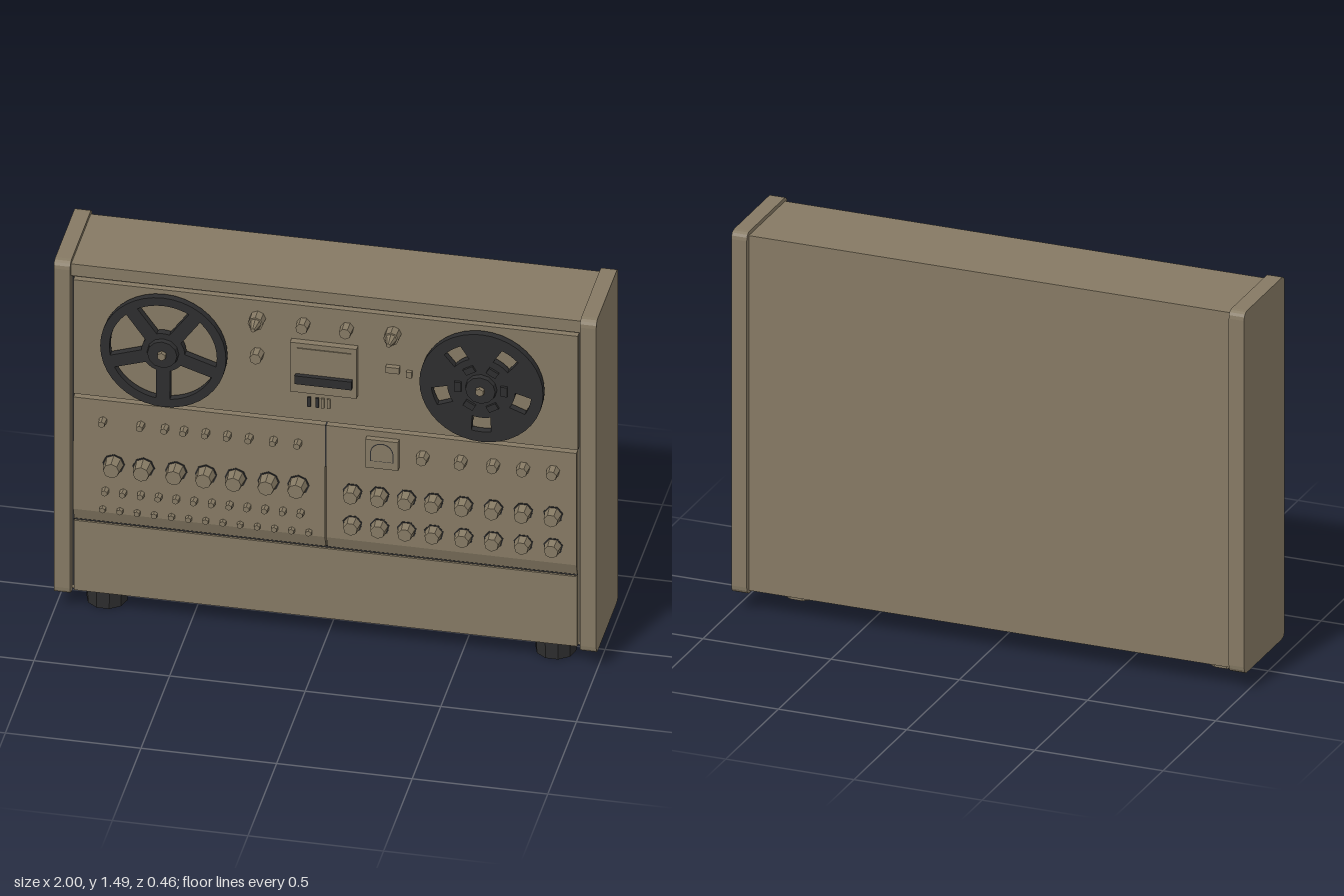
import * as THREE from 'three';

const mat = (name, color, opts = {}) => {
  const m = new THREE.MeshStandardMaterial({ color, flatShading: true, ...opts });
  m.name = name;
  return m;
};

export function createModel() {
  const root = new THREE.Group();
  root.name = 'tapeRecorder';
  const taupe = mat('taupe', 0x857963);
  const dark = mat('charcoal', 0x2d2d2e);

  const add = (name, geo, material, x = 0, y = 0, z = 0, parent = root) => {
    const m = new THREE.Mesh(geo, material);
    m.name = name;
    m.position.set(x, y, z);
    parent.add(m);
    return m;
  };
  // box given by its limits
  const box = (name, x0, x1, y0, y1, z0, z1, material = taupe) =>
    add(name, new THREE.BoxGeometry(x1 - x0, y1 - y0, z1 - z0), material,
      (x0 + x1) / 2, (y0 + y1) / 2, (z0 + z1) / 2);
  // faceted cylinder whose axis points forward, starting at its back face
  const stud = (r0, r1, depth, sides) =>
    new THREE.CylinderGeometry(r1, r0, depth, sides).rotateX(Math.PI / 2).translate(0, 0, depth / 2);
  // (z, y) outline swept along x
  const sweepX = (shape, x0, x1) =>
    new THREE.ExtrudeGeometry(shape, { depth: x1 - x0, bevelEnabled: false, curveSegments: 4 })
      .rotateY(-Math.PI / 2).scale(1, 1, 1).translate(x1, 0, 0);

  // cabinet and its thin front frame
  box('cabinet', -0.945, 0.945, 0.085, 1.475, -0.21, 0.12);
  box('topRail', -0.94, 0.94, 1.425, 1.475, 0.12, 0.135);

  // side cheeks with rounded corners
  const cheek = new THREE.Shape();
  const z0 = -0.23, z1 = 0.155, y0 = 0.073, y1 = 1.49, r = 0.03;
  cheek.moveTo(z0 + r, y0);
  cheek.lineTo(z1 - r, y0);
  cheek.quadraticCurveTo(z1, y0, z1, y0 + r);
  cheek.lineTo(z1, y1 - r);
  cheek.quadraticCurveTo(z1, y1, z1 - r, y1);
  cheek.lineTo(z0 + r, y1);
  cheek.quadraticCurveTo(z0, y1, z0, y1 - r);
  cheek.lineTo(z0, y0 + r);
  cheek.quadraticCurveTo(z0, y0, z0 + r, y0);
  add('rightCheek', sweepX(cheek, -1, -0.94), taupe);
  add('leftCheek', sweepX(cheek, 0.94, 1), taupe);

  // front panels: tape deck, control panel with an undercut, lower panel
  box('deckPanel', -0.93, 0.93, 0.93, 1.415, 0.11, 0.145);
  box('deckSeam', -0.93, 0.93, 0.919, 0.927, 0.115, 0.122, dark);
  const face = new THREE.Shape([[0.11, 0.39], [0.13, 0.39], [0.148, 0.44], [0.145, 0.915], [0.11, 0.915]]
    .map(p => new THREE.Vector2(...p)));
  add('rightControlPanel', sweepX(face, -0.93, -0.002), taupe);
  add('leftControlPanel', sweepX(face, 0.004, 0.925), taupe);
  box('panelSeam', -0.002, 0.004, 0.74, 0.915, 0.12, 0.146, dark);
  box('lowerPanel', -0.93, 0.925, 0.085, 0.382, 0.11, 0.133);
  box('lowerSeam', -0.93, 0.925, 0.382, 0.39, 0.118, 0.125, dark);
  for (const s of [-1, 1])
    box('edgeSeam', s * 0.934 - 0.003, s * 0.934 + 0.003, 0.1, 1.415, 0.115, 0.124, dark);

  // reels: a disc with five windows and a stepped hub
  const reel = (name, x, radius, inner, outer, halfIn, halfOut) => {
    const g = new THREE.Group();
    g.name = name;
    g.position.set(x, 1.175, 0.16);
    root.add(g);
    const disc = new THREE.Shape();
    disc.absarc(0, 0, radius, 0, Math.PI * 2, false);
    return { g, disc, cut() {
      for (let i = 0; i < 5; i++) {
        const a = Math.PI * (0.5 + 0.4 * i) + this.turn;
        const hole = new THREE.Path();
        hole.absarc(0, 0, outer, a - halfOut, a + halfOut, false);
        hole.absarc(0, 0, inner, a + halfIn, a - halfIn, true);
        hole.closePath();
        disc.holes.push(hole);
      }
      const flange = new THREE.ExtrudeGeometry(disc, { depth: 0.028, bevelEnabled: false, curveSegments: 20 });
      add('flange', flange, dark, 0, 0, 0, g);
      add('hub', stud(0.065, 0.055, 0.045, 12), dark, 0, 0, 0, g);
      add('spindleBase', stud(0.045, 0.045, 0.03, 10), dark, 0, 0, -0.025, g);
      add('spindle', stud(0.022, 0.016, 0.06, 6), taupe, 0, 0, 0, g);
    }, turn: 0 };
  };
  const openReel = reel('rightReel', -0.59, 0.232, 0.08, 0.198, 0.3, 0.5);
  openReel.cut();
  const closedReel = reel('leftReel', 0.583, 0.228, 0.125, 0.185, 0.27, 0.2);
  closedReel.turn = Math.PI / 5;
  closedReel.cut();
  for (let i = 0; i < 6; i++) {
    const a = i * Math.PI / 3;
    const lug = add('hubLug', new THREE.BoxGeometry(0.025, 0.04, 0.012), dark,
      0.085 * Math.cos(a), 0.085 * Math.sin(a), 0.032, closedReel.g);
    lug.rotation.z = a;
  }

  // deck knobs, two of them with long pointed tips
  for (const x of [-0.25, 0.25]) {
    add('guideKnob', stud(0.03, 0.028, 0.045, 8), taupe, x, 1.34, 0.143);
    add('guideTip', stud(0.022, 0.008, 0.045, 8), taupe, x, 1.34, 0.187);
  }
  for (const [x, y] of [[-0.08, 1.34], [0.08, 1.34], [-0.25, 1.19]])
    add('deckKnob', stud(0.025, 0.022, 0.045, 7), taupe, x, y, 0.143);
  box('deckSwitch', 0.225, 0.275, 1.18, 1.205, 0.143, 0.165);
  box('deckSwitch', 0.3, 0.32, 1.165, 1.19, 0.143, 0.16);

  // tape head cover with its slot, and counter below
  box('headCover', -0.125, 0.12, 1.06, 1.27, 0.143, 0.172);
  box('headPlate', -0.1, 0.1, 1.155, 1.25, 0.172, 0.176);
  box('headSlot', -0.105, 0.105, 1.105, 1.14, 0.172, 0.19, dark);
  for (const x of [-0.06, -0.03, -0.01, 0.012])
    box('counterWheel', x - 0.006, x + 0.006, 0.99, 1.03, 0.143, 0.152, x < -0.02 ? dark : taupe);

  // rows of knobs: [name, y, radius, depth, sides, x positions]
  const spread = (a, b, n) => Array.from({ length: n }, (_, i) => a + (b - a) * i / (n - 1));
  const eight = [0.1, 0.2, 0.3, 0.4, 0.51, 0.62, 0.73, 0.84];
  const rows = [
    ['toggleKnob', 0.83, 0.016, 0.035, 6, [-0.82, -0.68, -0.59, -0.52, -0.44, -0.36, -0.28, -0.19, -0.1]],
    ['channelKnob', 0.65, 0.037, 0.055, 8, [-0.78, -0.67, -0.55, -0.44, -0.33, -0.21, -0.1]],
    ['trimKnob', 0.535, 0.015, 0.03, 6, spread(-0.81, -0.09, 12)],
    ['pushButton', 0.455, 0.014, 0.02, 6, spread(-0.82, -0.06, 13)],
    ['levelKnob', 0.83, 0.025, 0.04, 7, [0.36, 0.5, 0.62, 0.73, 0.84]],
    ['toneKnob', 0.645, 0.033, 0.05, 7, eight],
    ['mixKnob', 0.51, 0.033, 0.045, 7, eight],
  ];
  for (const [name, y, rad, depth, sides, xs] of rows) {
    for (const x of xs) {
      add(name, stud(rad, rad * 0.8, depth, sides), taupe, x, y, 0.143);
      if (rad > 0.03)
        add(name + 'Skirt', stud(rad + 0.004, rad + 0.004, 0.006, sides), dark, x, y, 0.143);
    }
  }

  // level meter with an arched window
  box('meter', 0.152, 0.272, 0.77, 0.89, 0.14, 0.168);
  const arch = new THREE.Shape();
  arch.moveTo(-0.043, -0.03);
  arch.lineTo(0.043, -0.03);
  arch.lineTo(0.043, 0.01);
  arch.absarc(0, 0.005, 0.043, 0.1, Math.PI - 0.1, false);
  arch.closePath();
  add('meterOutline', new THREE.ShapeGeometry(arch, 8), dark, 0.212, 0.83, 0.1685);
  add('meterWindow', new THREE.ShapeGeometry(arch, 8).scale(0.92, 0.92, 1), taupe, 0.212, 0.83, 0.1695);

  // feet: dark front half, taupe back half
  for (const x of [-0.83, 0.825]) {
    const half = start => new THREE.CylinderGeometry(0.078, 0.075, 0.085, 5, 1, false, start, Math.PI);
    add('footFront', half(-Math.PI / 2), dark, x, 0.0425, 0.03);
    add('footBack', half(Math.PI / 2), taupe, x, 0.0425, 0.03);
  }
  return root;
}
